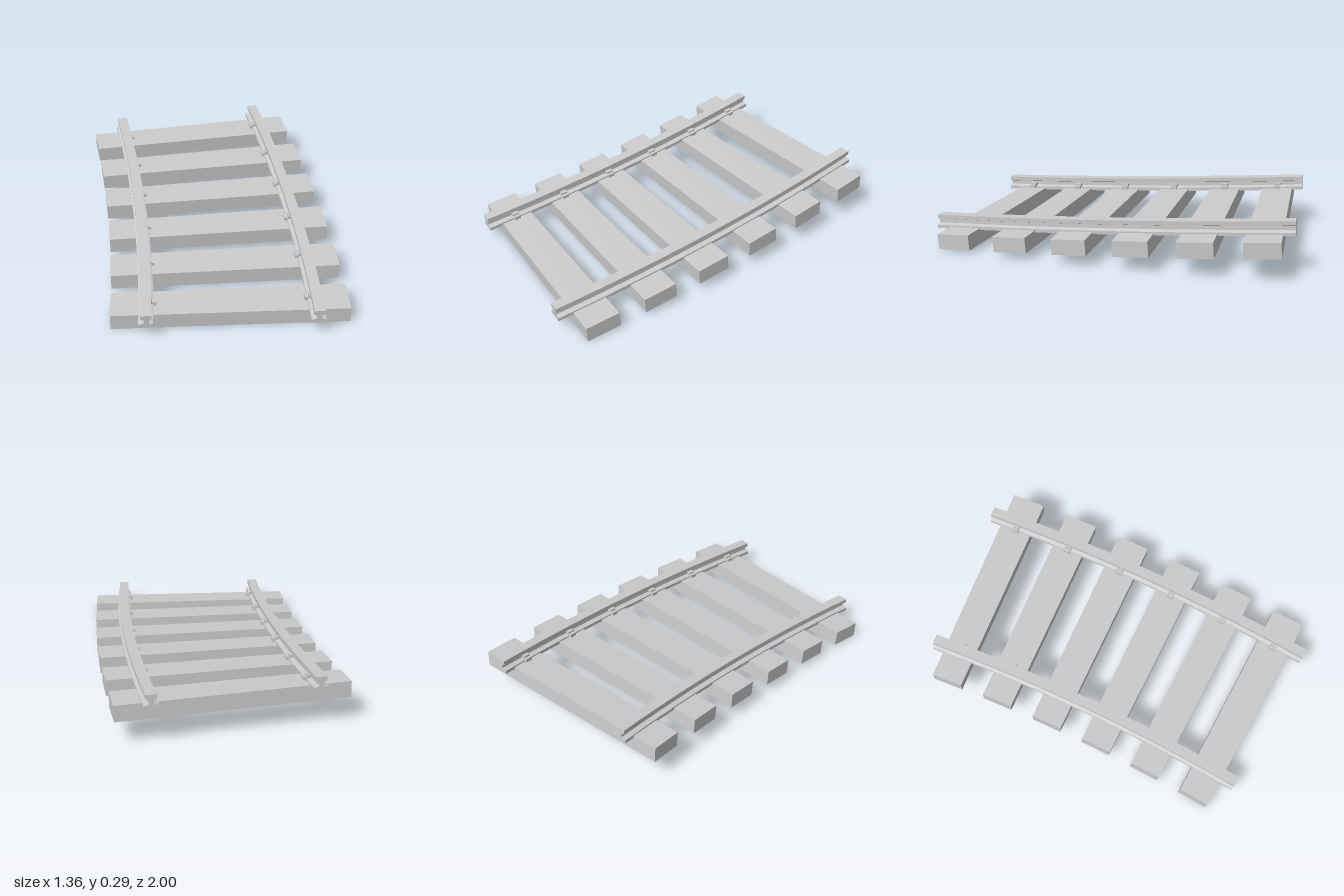
import * as THREE from 'three';

const MID_X = 0.0725, RADIUS = 11.03;      // track centre line: x at the front end, and curve radius
const DEG = Math.PI / 180, SWEEP = 10 * DEG;
const RISE = 0.145, TILT = 0.0725;         // climb over the whole sweep, and matching pitch

// Extrude a cross-section (across, up) and bend it along the climbing curve from angle a0 to a1
function bentExtrusion(points, a0, a1, steps) {
  const shape = new THREE.Shape(points.map(([x, y]) => new THREE.Vector2(x, y)));
  const geo = new THREE.ExtrudeGeometry(shape, { depth: 1, steps, bevelEnabled: false });
  const p = geo.attributes.position;
  for (let i = 0; i < p.count; i++) {
    const r = RADIUS + p.getX(i), v = p.getY(i);
    const base = a1 - (a1 - a0) * p.getZ(i);
    const a = base - TILT * (v - 0.04) / r;
    p.setXYZ(i, MID_X - RADIUS + r * Math.cos(a), v + RISE * base / SWEEP, 1 - r * Math.sin(a));
  }
  geo.computeVertexNormals();
  return geo;
}

export function createModel() {
  const group = new THREE.Group();
  const material = new THREE.MeshStandardMaterial({ color: 0xcccccc, flatShading: true });
  const add = (name, geo) => {
    const mesh = new THREE.Mesh(geo, material);
    mesh.name = name;
    group.add(mesh);
  };

  // Half of the rail section: foot, web, head
  const half = [[0.038, 0.07], [0.038, 0.089], [0.012, 0.096], [0.011, 0.117], [0.028, 0.123], [0.028, 0.145]];
  const railSection = [...half, ...half.map(([x, y]) => [-x, y]).reverse()];
  // Stepped clip gripping the inner side of the foot
  const clipSection = [[0.008, 0.08], [0.034, 0.08], [0.034, 0.074], [0.052, 0.074],
    [0.052, 0.1], [0.034, 0.1], [0.034, 0.109], [0.008, 0.109]];
  const sleeperSection = [[-0.607, -0.005], [0.603, -0.005], [0.603, 0.081], [-0.607, 0.081]];

  const sides = [['right', -1], ['left', 1]];
  const gauge = 0.4275;

  // Rails
  for (const [side, s] of sides) {
    add(side + 'Rail', bentExtrusion(railSection.map(([x, y]) => [x + s * gauge, y]), 0, SWEEP, 20));
  }

  // Sleepers, each with one clip per rail
  for (let i = 0; i < 6; i++) {
    const a = (0.88 + i * 10 / 6) * DEG;
    const halfWidth = 0.09 / RADIUS, halfClip = 0.019 / RADIUS;
    add('sleeper' + (i + 1), bentExtrusion(sleeperSection, a - halfWidth, a + halfWidth, 1));
    for (const [side, s] of sides) {
      const section = clipSection.map(([x, y]) => [s * (gauge - x), y]);
      add(side + 'Clip' + (i + 1), bentExtrusion(section, a - halfClip, a + halfClip, 1));
    }
  }
  return group;
}
